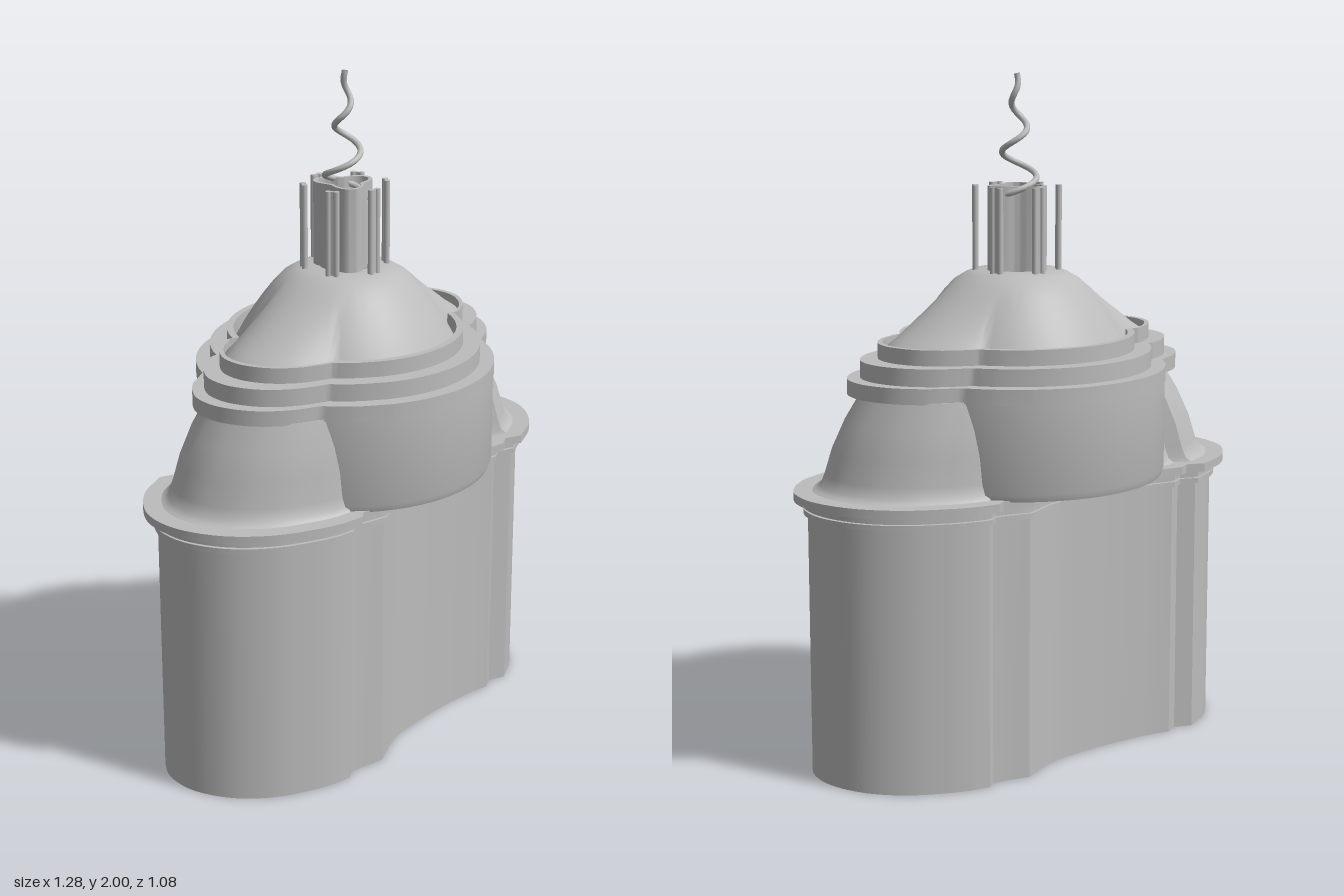
import * as THREE from 'three';
import { mergeVertices, toCreasedNormals } from 'three/addons/utils/BufferGeometryUtils.js';

const V2 = (x, z) => new THREE.Vector2(x, z);
const smooth = (pts, n) => new THREE.SplineCurve(pts.map(p => V2(...p))).getPoints(n);

// Plan outline (x, z): a lobe, a stepped notch and a hollow waist, then the same turned by 180 degrees
const half = [
  V2(0.04, -0.39), V2(0.075, -0.41), V2(0.085, -0.44),
  ...smooth([[0.13, -0.463], [0.2, -0.485], [0.32, -0.502], [0.44, -0.48], [0.54, -0.415],
    [0.592, -0.33], [0.6, -0.25], [0.585, -0.17], [0.56, -0.12]], 44),
  V2(0.54, -0.08), V2(0.485, -0.065), V2(0.465, -0.025),
  ...smooth([[0.41, 0], [0.3, 0.07], [0.19, 0.155], [0.1, 0.24], [0.03, 0.36]], 30),
];
const outline = [...half, ...half.map(p => V2(-p.x, -p.y))];
const N = outline.length;
const normals = outline.map((p, i) => {
  const t = outline[(i + 1) % N].clone().sub(outline[(i + N - 1) % N]).normalize();
  return V2(t.y, -t.x);
});
// Softened plan without the notch steps, for the dome
const softOutline = outline.map((p, i) => {
  const sum = V2(0, 0);
  for (let k = -5; k <= 5; k++) sum.add(outline[(i + k + N) % N]);
  return sum.divideScalar(11);
});

// One level of the plan: offset, scaled, kept outside a circle of radius min, and blended to a circle
function ring(y, { plan = outline, off = 0, sx = 1, sz = sx, min = 0, r = 1, round = 0 } = {}) {
  return plan.map((p, i) => {
    const q = V2((p.x + normals[i].x * off) * sx, (p.y + normals[i].y * off) * sz);
    if (q.length() < min) q.setLength(min);
    q.lerp(q.clone().setLength(r), round);
    return new THREE.Vector3(q.x, y, q.y);
  });
}

// Skin through rings; closed joins the last ring to the first
function loft(rings, closed = true, crease = 0.6) {
  const n = rings[0].length, m = rings.length, index = [];
  for (let i = 0; i < (closed ? m : m - 1); i++) {
    for (let j = 0; j < n; j++) {
      const a = i * n + j, c = i * n + (j + 1) % n;
      const b = ((i + 1) % m) * n + j, d = ((i + 1) % m) * n + (j + 1) % n;
      index.push(a, b, c, c, b, d);
    }
  }
  const g = new THREE.BufferGeometry().setFromPoints(rings.flat());
  g.setIndex(index);
  return toCreasedNormals(mergeVertices(g), crease);
}

export function createModel() {
  const group = new THREE.Group();
  const grey = new THREE.MeshStandardMaterial({ color: 0xbcbcbc, side: THREE.DoubleSide });
  grey.name = 'plain grey';
  const add = (name, geometry, parent = group) => {
    const mesh = new THREE.Mesh(geometry, grey);
    mesh.name = name;
    parent.add(mesh);
    return mesh;
  };
  // Flat band between an outer and an inner plan
  const band = (name, y0, y1, outer, inner) =>
    add(name, loft([ring(y0, outer), ring(y1, outer), ring(y1, inner), ring(y0, inner)]));

  // Hollow body wall with mouldings
  band('bodyWall', 0, 0.83, {}, { off: -0.03 });
  band('lowerBead', 0.77, 0.785, { off: 0.012 }, { off: -0.02 });
  band('upperBead', 0.79, 0.805, { off: 0.012 }, { off: -0.02 });
  band('rim', 0.81, 0.835, { off: 0.04 }, { off: -0.03 });

  // Sloping roof over the lobes, flared onto the rim
  const slope = [[0.83, 1, 1], [0.838, 0.965, 0.965], [0.85, 0.94, 0.945], [0.88, 0.92, 0.93],
    [0.95, 0.885, 0.915], [1.03, 0.825, 0.885], [1.11, 0.745, 0.84]];
  add('lobeRoof', loft([
    ...slope.map(([y, sx, sz]) => ring(y, { sx, sz, min: 0.2 })),
    ...slope.slice().reverse().map(([y, sx, sz]) => ring(y, { off: -0.03, sx, sz, min: 0.17 })),
  ]));

  // Round bays overhanging the two waists
  const bayProfile = [[0.405, 0.83], [0.428, 0.83], [0.435, 0.85], [0.435, 1.11], [0.405, 1.11], [0.405, 0.83]]
    .map(p => V2(...p));
  for (const turn of [0, Math.PI]) {
    add('bay', toCreasedNormals(new THREE.LatheGeometry(bayProfile, 48, turn - 0.35, 2.1), 0.6));
  }

  // Three stepped tiers, the upper one a thin lip around the dome
  band('lowerTier', 1.105, 1.15, { sx: 0.81, sz: 0.84, min: 0.437 }, { sx: 0.6, min: 0.27 });
  band('middleTier', 1.15, 1.2, { sx: 0.75, sz: 0.78, min: 0.395 }, { sx: 0.58, min: 0.27 });
  band('upperTier', 1.2, 1.245, { sx: 0.667, sz: 0.69, min: 0.345 }, { sx: 0.645, sz: 0.665, min: 0.325 });

  // Upper dome, changing from the lobed plan to a circle
  const dome = [[1.2, 0.67, 0.325, 0, 0.3], [1.225, 0.645, 0.31, 0.05, 0.33], [1.25, 0.6, 0.295, 0.15, 0.31],
    [1.29, 0.54, 0.265, 0.35, 0.285], [1.33, 0.48, 0.235, 0.6, 0.25], [1.37, 0.44, 0.2, 0.85, 0.215],
    [1.4, 0.4, 0.18, 1, 0.185], [1.42, 0.4, 0.15, 1, 0.152], [1.43, 0.4, 0.1, 1, 0.125], [1.43, 0.4, 0.1, 1, 0.075]];
  add('upperDome', loft(dome.map(([y, sx, min, round, r]) =>
    ring(y, { plan: softOutline, sx, min, round, r })), false, 1));

  // Open three-lobed chimney
  const trefoil = (y, inset) => Array.from({ length: 72 }, (_, i) => {
    const a = i / 72 * Math.PI * 2;
    const r = 0.076 + 0.018 * Math.cos(3 * (a - Math.PI / 2)) - inset;
    return new THREE.Vector3(Math.cos(a) * r, y, Math.sin(a) * r);
  });
  add('chimney', loft([trefoil(1.42, 0), trefoil(1.675, 0), trefoil(1.675, 0.012), trefoil(1.42, 0.012)]));

  // Six slim double posts around the chimney
  for (let i = 0; i < 6; i++) {
    const post = new THREE.Group();
    post.name = 'doublePost';
    for (const side of [-1, 1]) {
      add('postRod', new THREE.CylinderGeometry(0.009, 0.009, 0.25, 12), post).position.set(0.121, 1.55, side * 0.012);
    }
    add('postWeb', new THREE.BoxGeometry(0.008, 0.25, 0.024), post).position.set(0.121, 1.55, 0);
    post.rotation.y = i * Math.PI / 3;
    group.add(post);
  }

  // Tapering spiral wire
  const coil = Array.from({ length: 71 }, (_, i) => {
    const t = i / 70, y = 1.62 + 0.375 * t, a = (y - 1.7) / 0.145 * Math.PI * 2;
    const r = 0.072 * (1 - t);
    return new THREE.Vector3(-Math.cos(a) * r, y, Math.sin(a) * r);
  });
  add('spiralWire', new THREE.TubeGeometry(new THREE.CatmullRomCurve3(coil), 180, 0.009, 10));

  return group;
}
